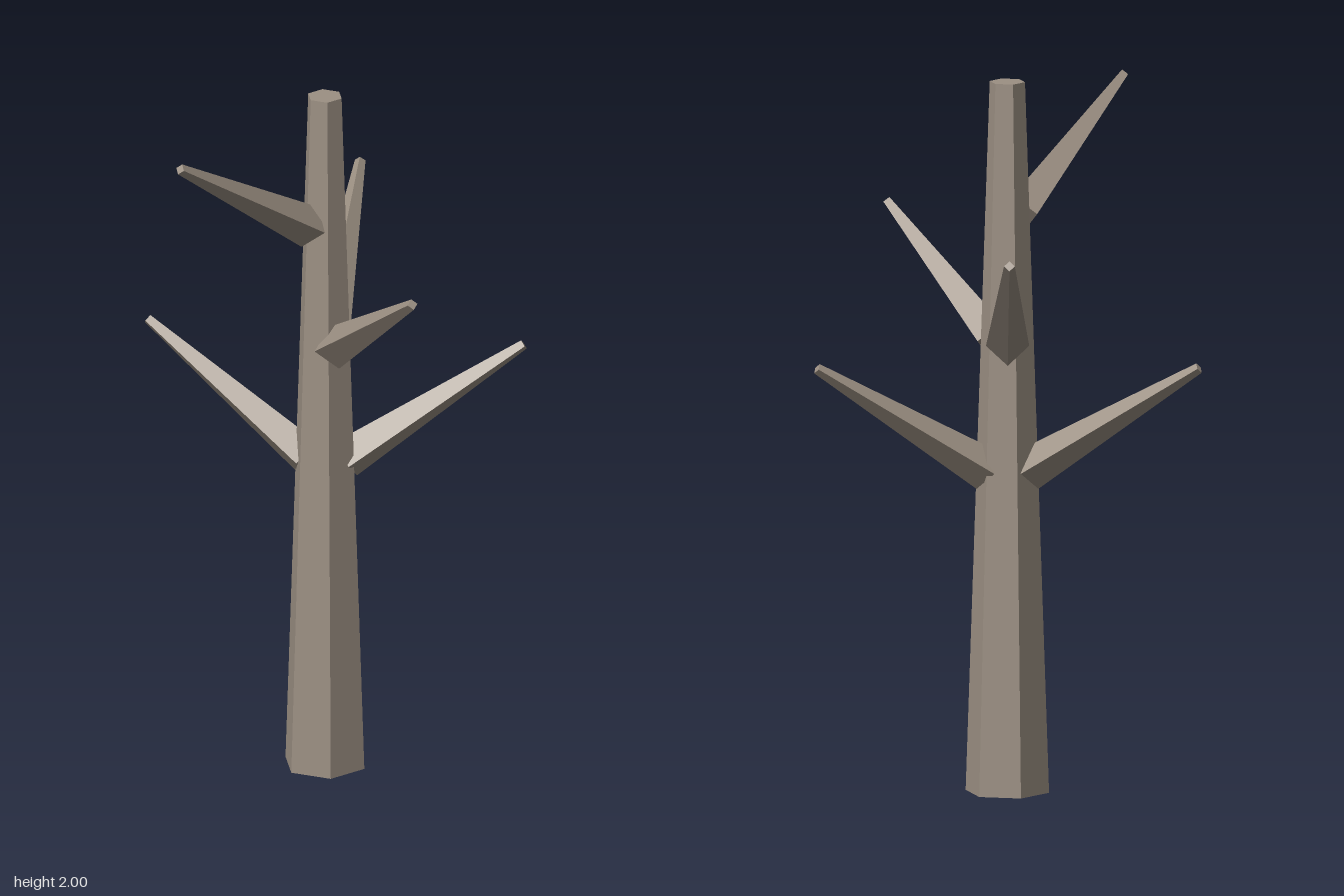
import * as THREE from 'three';

const bark = new THREE.MeshStandardMaterial({ color: 0x9c9083, flatShading: true, side: THREE.DoubleSide });
const trunkX = -0.055;

// Tapered four-sided limb, leaning outwards from the trunk axis
function makeBranch(name, degrees, baseY) {
  const length = 0.59, reach = 0.058, rise = THREE.MathUtils.degToRad(32.3);
  const geometry = new THREE.CylinderGeometry(0.015, 0.06, length, 4);
  geometry.translate(0, length / 2, 0);
  geometry.rotateZ(rise - Math.PI / 2);
  geometry.translate(reach, 0, 0);
  const branch = new THREE.Mesh(geometry, bark);
  branch.name = name;
  branch.position.set(trunkX, baseY, 0);
  branch.rotation.y = -THREE.MathUtils.degToRad(degrees);
  return branch;
}

export function createModel() {
  const tree = new THREE.Group();
  tree.name = 'bareTree';

  // Six-sided trunk, open at the foot
  const trunk = new THREE.Mesh(new THREE.CylinderGeometry(0.05, 0.118, 2, 6, 1, true), bark);
  trunk.name = 'trunk';
  trunk.position.set(trunkX, 1, 0);
  tree.add(trunk);

  // Flat cut at the top of the trunk, corners matched to the trunk's
  const cap = new THREE.Mesh(new THREE.CircleGeometry(0.05, 6, Math.PI / 2), bark);
  cap.name = 'trunkTop';
  cap.rotation.x = -Math.PI / 2;
  cap.position.set(trunkX, 2, 0);
  tree.add(cap);

  // Five branches evenly spaced around the trunk at three heights
  const branches = [
    ['leftBranch', 0, 0.908],
    ['frontBranch', 72, 1.266],
    ['upperBranch', 144, 1.624],
    ['lowerBackBranch', 216, 0.908],
    ['backBranch', 288, 1.266],
  ];
  for (const [name, degrees, y] of branches) tree.add(makeBranch(name, degrees, y));

  return tree;
}
